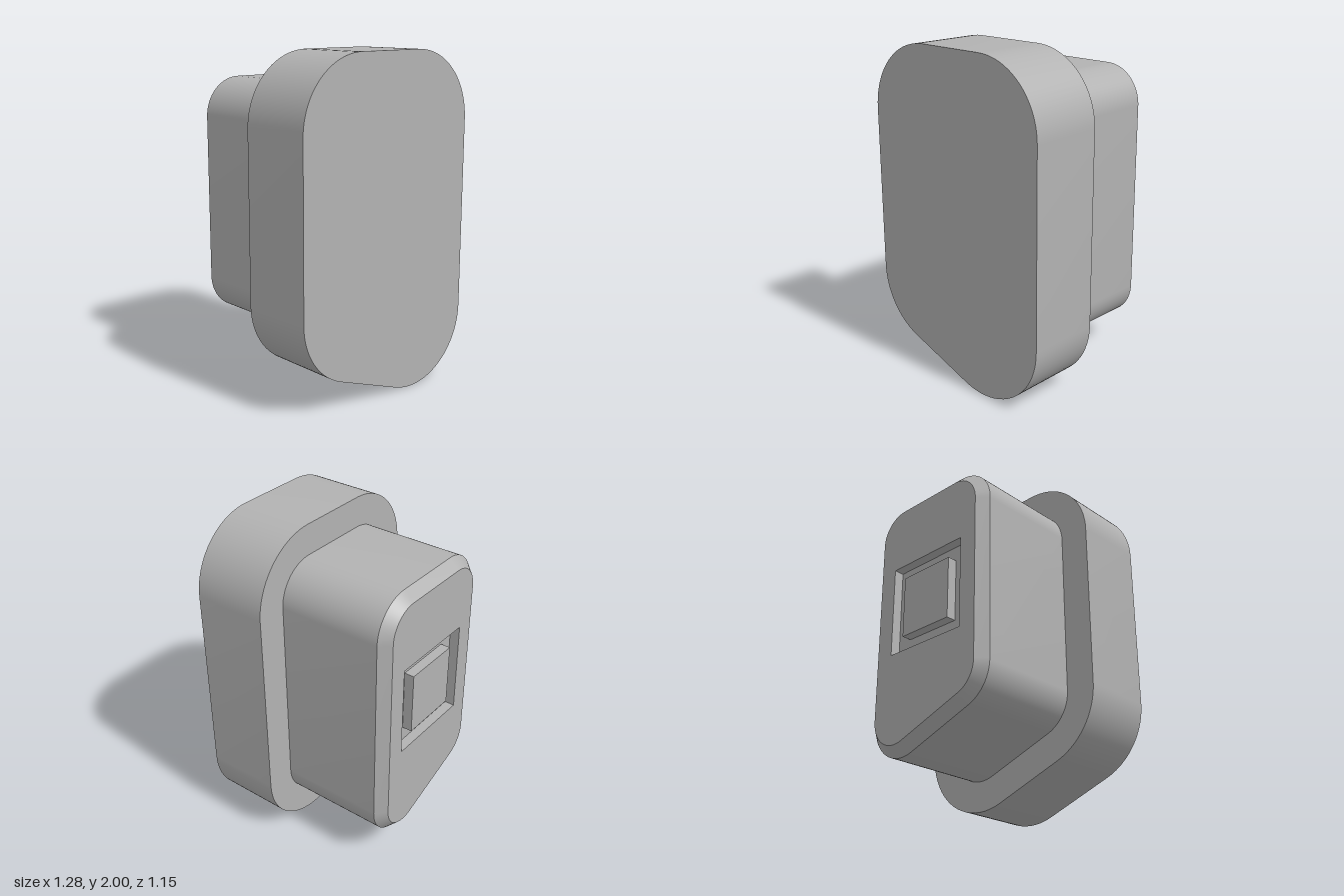
import * as THREE from 'three';
import { toCreasedNormals } from 'three/addons/utils/BufferGeometryUtils.js';

const BACK = -0.577, FRONT = 0.577, STEP = 0.12, CHAMFER = 0.06;
const MID_Y = 1.08; // height of the recess centre

// Rounded outline with one sloped lower edge: four corner arcs of radius r
function outline(r, segments = 20) {
  const corners = [
    [0.22, 0.42, -110, 0],
    [0.22, 1.58, 0, 90],
    [-0.22, 1.58, 90, 180],
    [-0.22, 0.58, 180, 250],
  ];
  const points = [];
  for (const [cx, cy, from, to] of corners) {
    for (let i = 0; i <= segments; i++) {
      const a = THREE.MathUtils.degToRad(from + (to - from) * i / segments);
      points.push(new THREE.Vector2(cx + r * Math.cos(a), cy + r * Math.sin(a)));
    }
  }
  return points;
}

// Clockwise square for the recess opening
function square(h) {
  return [[-h, -h], [-h, h], [h, h], [h, -h]].map(([x, y]) => new THREE.Vector2(x, MID_Y + y));
}

// Wall joining two matching rings, the first one nearer the front
function band(ringA, zA, ringB, zB) {
  const pos = [];
  const put = (p, z) => pos.push(p.x, p.y, z);
  ringA.forEach((a, i) => {
    const j = (i + 1) % ringA.length;
    put(a, zA); put(ringB[i], zB); put(ringB[j], zB);
    put(a, zA); put(ringB[j], zB); put(ringA[j], zA);
  });
  const g = new THREE.BufferGeometry();
  g.setAttribute('position', new THREE.Float32BufferAttribute(pos, 3));
  g.computeVertexNormals();
  return g;
}

function slab(r, z0, z1) {
  const g = new THREE.ExtrudeGeometry(new THREE.Shape(outline(r)), { depth: z1 - z0, bevelEnabled: false });
  return g.translate(0, 0, z0);
}

export function createModel() {
  const group = new THREE.Group();
  const grey = new THREE.MeshStandardMaterial({ color: 0xb2b2b2 });
  grey.name = 'grey';
  const add = (name, geometry) => {
    const mesh = new THREE.Mesh(toCreasedNormals(geometry, 0.5), grey);
    mesh.name = name;
    group.add(mesh);
    return mesh;
  };
  const floor = BACK + CHAMFER;

  // Wide front plate and narrower plug behind it
  add('frontPlate', slab(0.42, STEP, FRONT));
  add('plugBody', slab(0.235, floor, STEP));

  // Chamfered rim and rear face with a square opening
  add('plugChamfer', band(outline(0.235), floor, outline(0.175), BACK));
  const face = new THREE.Shape(outline(0.175));
  face.holes.push(new THREE.Path(square(0.28)));
  const rear = new THREE.ShapeGeometry(face).translate(0, 0, BACK);
  rear.index.array.reverse(); // turn it to face backwards
  add('rearFace', rear);

  // Recess walls and the raised block standing inside
  add('recessWalls', band(square(0.28), floor, square(0.28), BACK));
  add('recessBlock', new THREE.BoxGeometry(0.37, 0.38, CHAMFER))
    .position.set(0, MID_Y, BACK + CHAMFER / 2);

  return group;
}
